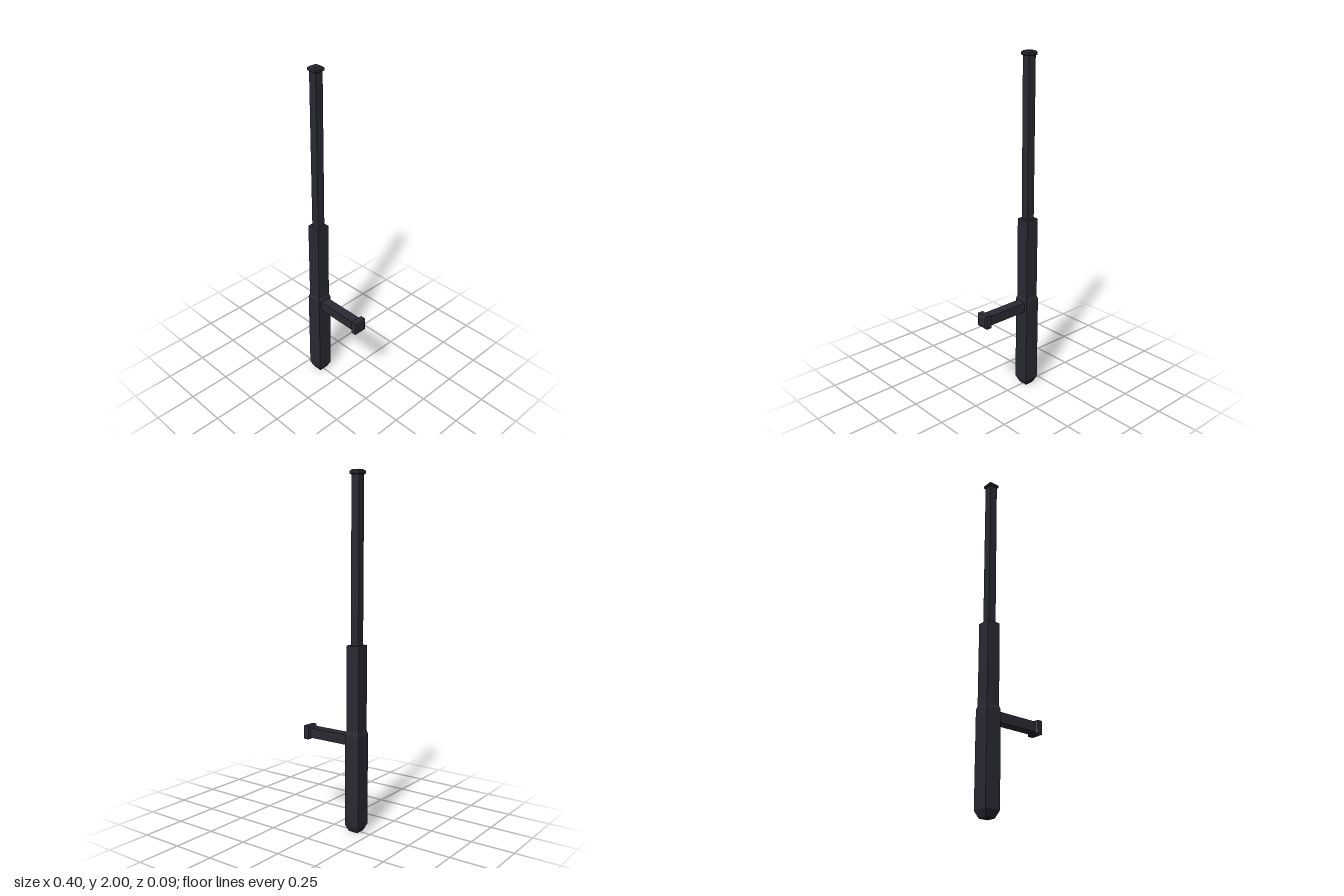
import * as THREE from 'three';

const material = new THREE.MeshStandardMaterial({ color: 0x2a2a35, flatShading: true });

// Square-section bar: profile is a list of [half width, height], bottom to top
function squareBar(name, profile) {
  const points = profile.map(([half, y]) => new THREE.Vector2(half * Math.SQRT2, y));
  const geometry = new THREE.LatheGeometry(points, 4, Math.PI / 4).toNonIndexed();
  geometry.computeVertexNormals();
  const mesh = new THREE.Mesh(geometry, material);
  mesh.name = name;
  return mesh;
}

export function createModel() {
  const model = new THREE.Group();
  model.name = 'sideHandleBaton';

  // Upright body: grip, middle sleeve, thin shaft and end cap
  const body = new THREE.Group();
  body.name = 'body';
  body.position.x = -0.154;
  body.add(
    squareBar('grip', [[0, 0], [0.028, 0], [0.046, 0.04], [0.046, 0.565], [0.04, 0.585], [0, 0.585]]),
    squareBar('sleeve', [[0, 0.56], [0.04, 0.56], [0.04, 1.065], [0, 1.065]]),
    squareBar('shaft', [[0, 1.04], [0.024, 1.04], [0.024, 1.98], [0, 1.98]]),
    squareBar('endCap', [[0, 1.973], [0.024, 1.973], [0.031, 1.978], [0.031, 1.992], [0.021, 2], [0, 2]])
  );
  model.add(body);

  // Side handle with a bevelled knob, its axis laid along +x
  const sideHandle = new THREE.Group();
  sideHandle.name = 'sideHandle';
  sideHandle.position.y = 0.53;
  sideHandle.rotation.z = -Math.PI / 2;
  sideHandle.add(
    squareBar('handleBar', [[0, -0.13], [0.029, -0.13], [0.029, 0.17], [0, 0.17]]),
    squareBar('handleKnob', [[0, 0.15], [0.029, 0.15], [0.039, 0.158], [0.039, 0.19], [0.027, 0.198], [0, 0.198]])
  );
  model.add(sideHandle);

  return model;
}
